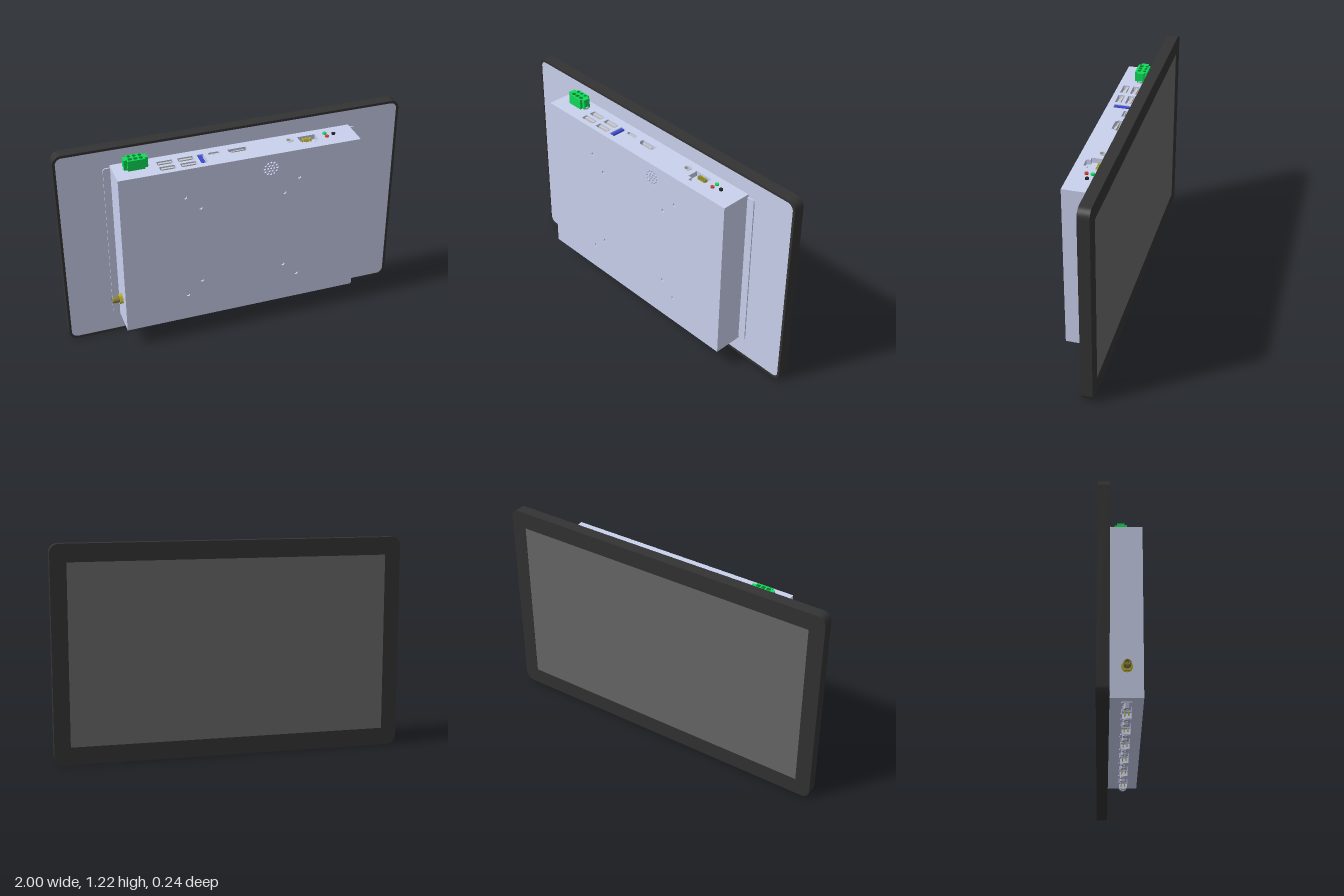
import * as THREE from 'three';

const mat = (color, side = THREE.FrontSide) => new THREE.MeshStandardMaterial({ color, side });
const M = {
  steel: mat(0xcad1ee), bezel: mat(0x333333), screen: mat(0x686868), green: mat(0x10dc58),
  darkGreen: mat(0x087a30), blue: mat(0x3a48d8), gold: mat(0xb8b030), dark: mat(0x222222),
  red: mat(0xd04030), metal: mat(0xcccccc),
};

// Rounded rectangle centred on (cx, cy)
function rounded(cx, cy, w, h, r, Cls = THREE.Path) {
  const p = new Cls(), x = w / 2, y = h / 2;
  p.absarc(cx + x - r, cy + y - r, r, 0, Math.PI / 2);
  p.absarc(cx - x + r, cy + y - r, r, Math.PI / 2, Math.PI);
  p.absarc(cx - x + r, cy - y + r, r, Math.PI, Math.PI * 1.5);
  p.absarc(cx + x - r, cy - y + r, r, Math.PI * 1.5, Math.PI * 2);
  p.closePath();
  return p;
}
const circle = (x, y, r) => new THREE.Path().absarc(x, y, r, 0, Math.PI * 2);
const polygon = (pts, Cls = THREE.Path) => new Cls(pts.map(([x, y]) => new THREE.Vector2(x, y)));

function extrude(shape, depth, holes = []) {
  shape.holes.push(...holes);
  return new THREE.ExtrudeGeometry(shape, { depth, bevelEnabled: false, curveSegments: 8 });
}

export function createModel() {
  const root = new THREE.Group();
  root.name = 'panelComputer';

  const add = (name, geometry, material, x = 0, y = 0, z = 0, parent = root) => {
    const m = new THREE.Mesh(geometry, material);
    m.name = name;
    m.position.set(x, y, z);
    parent.add(m);
    return m;
  };
  // Box given by its min and max corners
  const box = (name, a, b, material, parent = root) => add(name,
    new THREE.BoxGeometry(b[0] - a[0], b[1] - a[1], b[2] - a[2]), material,
    (a[0] + b[0]) / 2, (a[1] + b[1]) / 2, (a[2] + b[2]) / 2, parent);
  // Shape drawn in (x, z), extruded downwards from height y
  const downward = (name, shape, depth, holes, material, x, y, z, parent = root) =>
    add(name, extrude(shape, depth, holes).rotateX(Math.PI / 2), material, x, y, z, parent);

  // Display: frame, glass, rear rim and rear cover
  const midY = 0.61;
  add('bezelFrame', extrude(rounded(0, midY, 2, 1.22, 0.05, THREE.Shape), 0.058,
    [rounded(0, midY, 1.82, 1.02, 0.002)]), M.bezel, 0, 0, -0.12);
  box('screen', [-0.911, 0.099, -0.119], [0.911, 1.121, -0.07], M.screen);
  add('rearRim', extrude(rounded(0, midY, 2, 1.22, 0.05, THREE.Shape), 0.007,
    [rounded(0, midY, 1.972, 1.192, 0.037)]), M.bezel, 0, 0, -0.062);
  add('rearCover', extrude(rounded(0, midY, 1.972, 1.192, 0.037, THREE.Shape), 0.004),
    M.steel, 0, 0, -0.062);

  // Computer case with side mounting flanges
  const L = -0.695, R = 0.69, B = 0.12, T = 1.115, F = 0.12;
  box('caseBody', [L, B, -0.06], [R, 1.085, 0.11], M.steel);
  for (const s of [-1, 1]) {
    add('mountingFlange', extrude(rounded(s * 0.69, 0.615, 0.09, 0.97, 0.015, THREE.Shape), 0.009),
      M.steel, 0, 0, -0.06);
  }

  // Front cover pierced by mounting holes and a round speaker grille
  const frontHoles = [];
  for (const [x, dy] of [[0.33, 0.3275], [0.245, 0.245]]) {
    for (const sx of [-1, 1]) for (const sy of [-1, 1]) {
      frontHoles.push(circle(sx * x, 0.6125 + sy * dy, 0.01));
    }
  }
  [[1, 0], [6, 0.018], [12, 0.037]].forEach(([n, r]) => {
    for (let i = 0; i < n; i++) {
      const a = (i / n) * Math.PI * 2;
      frontHoles.push(circle(0.16 + r * Math.cos(a), 1.03 + r * Math.sin(a), 0.0068));
    }
  });
  add('caseFront', extrude(polygon([[L, B], [R, B], [R, T], [L, T]], THREE.Shape), 0.01, frontHoles),
    M.steel, 0, 0, F - 0.01);

  // Top cover with port openings
  const usb = [];
  for (const x of [-0.408, -0.291]) for (const z of [0.012, 0.07]) usb.push([x, z]);
  const lan = [[0.363, -0.013], [0.468, -0.013], [0.468, 0.05], [0.445, 0.05], [0.445, 0.073],
    [0.386, 0.073], [0.386, 0.05], [0.363, 0.05]];
  const topHoles = [
    ...usb.map(([x, z]) => rounded(x, z, 0.088, 0.038, 0.003)),
    rounded(-0.205, 0.037, 0.038, 0.092, 0.003),
    rounded(-0.128, 0.002, 0.066, 0.022, 0.0105),
    polygon([[-0.048, -0.008], [0.058, -0.008], [0.058, 0.015], [0.042, 0.03], [-0.032, 0.03], [-0.048, 0.015]]),
    circle(0.31, 0.005, 0.014),
    polygon(lan),
  ];
  downward('caseTop', polygon([[L, -0.06], [R, -0.06], [R, 0.11], [L, 0.11]], THREE.Shape),
    0.03, topHoles, M.steel, 0, T, 0);

  // Contacts inside the top ports
  const ports = new THREE.Group();
  ports.name = 'topPorts';
  root.add(ports);
  for (const [x, z] of usb) {
    box('usbTongue', [x - 0.036, 1.085, z - 0.012], [x + 0.036, 1.111, z + 0.002], M.metal, ports);
  }
  box('fastUsbTongue', [-0.219, 1.085, -0.004], [-0.199, 1.113, 0.078], M.blue, ports);
  box('smallUsbTongue', [-0.15, 1.085, -0.001], [-0.106, 1.111, 0.005], M.metal, ports);
  box('videoTongue', [-0.03, 1.085, 0.006], [0.04, 1.111, 0.014], M.metal, ports);
  for (let i = 0; i < 8; i++) {
    const x = 0.39 + i * 0.0073;
    box('networkContact', [x - 0.0015, 1.085, -0.01], [x + 0.0015, 1.105, 0.008], M.gold, ports);
  }
  const ring = add('audioJackRing', new THREE.TorusGeometry(0.018, 0.004, 8, 24), M.metal, 0.31, T, 0.005, ports);
  ring.rotation.x = Math.PI / 2;
  for (const [name, x, z, m] of [['powerLight', 0.522, 0, M.green], ['diskLight', 0.522, 0.034, M.red],
    ['powerButton', 0.568, 0.018, M.dark]]) {
    add(name, new THREE.CylinderGeometry(0.011, 0.011, 0.012, 20), m, x, T + 0.002, z, ports);
  }

  // Green power terminal with clamp screws and side ears
  const term = new THREE.Group();
  term.name = 'powerTerminal';
  term.position.set(-0.57, T, 0.003);
  root.add(term);
  const plug = [[-0.066, -0.018], [-0.045, -0.018], [-0.045, -0.033], [0.045, -0.033], [0.045, -0.018],
    [0.066, -0.018], [0.066, 0.022], [0.048, 0.022], [0.048, 0.037], [-0.048, 0.037], [-0.048, 0.022], [-0.066, 0.022]];
  downward('terminalBody', polygon(plug, THREE.Shape), 0.062, [], M.green, 0, 0.06, 0, term);
  for (const x of [-0.03, 0, 0.03]) {
    add('clampScrew', new THREE.CylinderGeometry(0.009, 0.009, 0.004, 16), M.darkGreen, x, 0.0595, -0.016, term);
    box('wireSlot', [x - 0.01, 0.05, 0.006], [x + 0.01, 0.061, 0.026], M.darkGreen, term);
  }
  for (const s of [-1, 1]) {
    add('terminalEar', new THREE.CylinderGeometry(0.015, 0.015, 0.012, 16), M.steel, s * 0.058, 0.004, 0.003, term);
  }

  // Row of six serial connectors under the case
  const dShape = (k) => [[-0.053 * k, -0.026 * k], [0.053 * k, -0.026 * k], [0.043 * k, 0.026 * k], [-0.043 * k, 0.026 * k]];
  for (let i = 0; i < 6; i++) {
    const g = new THREE.Group();
    g.name = 'serialConnector';
    g.position.set(-0.549 + i * 0.219, B, 0.036);
    root.add(g);
    downward('connectorFlange', rounded(0, 0, 0.196, 0.06, 0.008, THREE.Shape), 0.005, [], M.steel, 0, 0, 0, g);
    downward('connectorShell', polygon(dShape(1), THREE.Shape), 0.034, [polygon(dShape(0.9))], M.steel, 0, 0, 0, g);
    for (let p = 0; p < 9; p++) {
      const row = p < 5 ? 0 : 1;
      const x = row ? (p - 6.5) * 0.017 : (p - 2) * 0.017;
      add('pin', new THREE.CylinderGeometry(0.003, 0.003, 0.026, 8), M.gold, x, -0.013, row ? 0.01 : -0.01, g);
    }
    for (const s of [-1, 1]) {
      const post = [[0.008, 0], [0.019, 0], [0.019, 0.034], [0.008, 0.034], [0.008, 0.006], [0, 0.006]];
      const pts = post.slice(1).map(([r, y]) => new THREE.Vector2(r, -y)).reverse();
      const nut = new THREE.LatheGeometry(pts, 6).toNonIndexed();
      nut.computeVertexNormals();
      add('hexPost', nut, mat(0xb0b4c8, THREE.DoubleSide), s * 0.079, 0, 0, g);
    }
  }

  // Threaded antenna socket on the side
  const ant = new THREE.Group();
  ant.name = 'antennaSocket';
  ant.position.set(L, 0.29, 0.035);
  ant.rotation.z = Math.PI / 2;
  root.add(ant);
  const hex = new THREE.CylinderGeometry(0.029, 0.029, 0.014, 6).toNonIndexed();
  hex.computeVertexNormals();
  add('hexNut', hex, M.gold, 0, 0.012, 0, ant);
  add('washer', new THREE.CylinderGeometry(0.03, 0.03, 0.005, 24), M.gold, 0, 0.0025, 0, ant);
  const thread = [[0.017, 0.019]];
  for (let i = 0; i < 5; i++) thread.push([0.021, 0.024 + i * 0.007], [0.017, 0.0275 + i * 0.007]);
  thread.push([0.017, 0.06], [0.012, 0.06], [0.012, 0.035], [0, 0.035]);
  add('thread', new THREE.LatheGeometry(thread.map(([r, y]) => new THREE.Vector2(r, y)), 24),
    mat(0x8a8440, THREE.DoubleSide), 0, 0, 0, ant);
  add('centrePin', new THREE.CylinderGeometry(0.003, 0.003, 0.02, 8), M.gold, 0, 0.045, 0, ant);

  return root;
}
